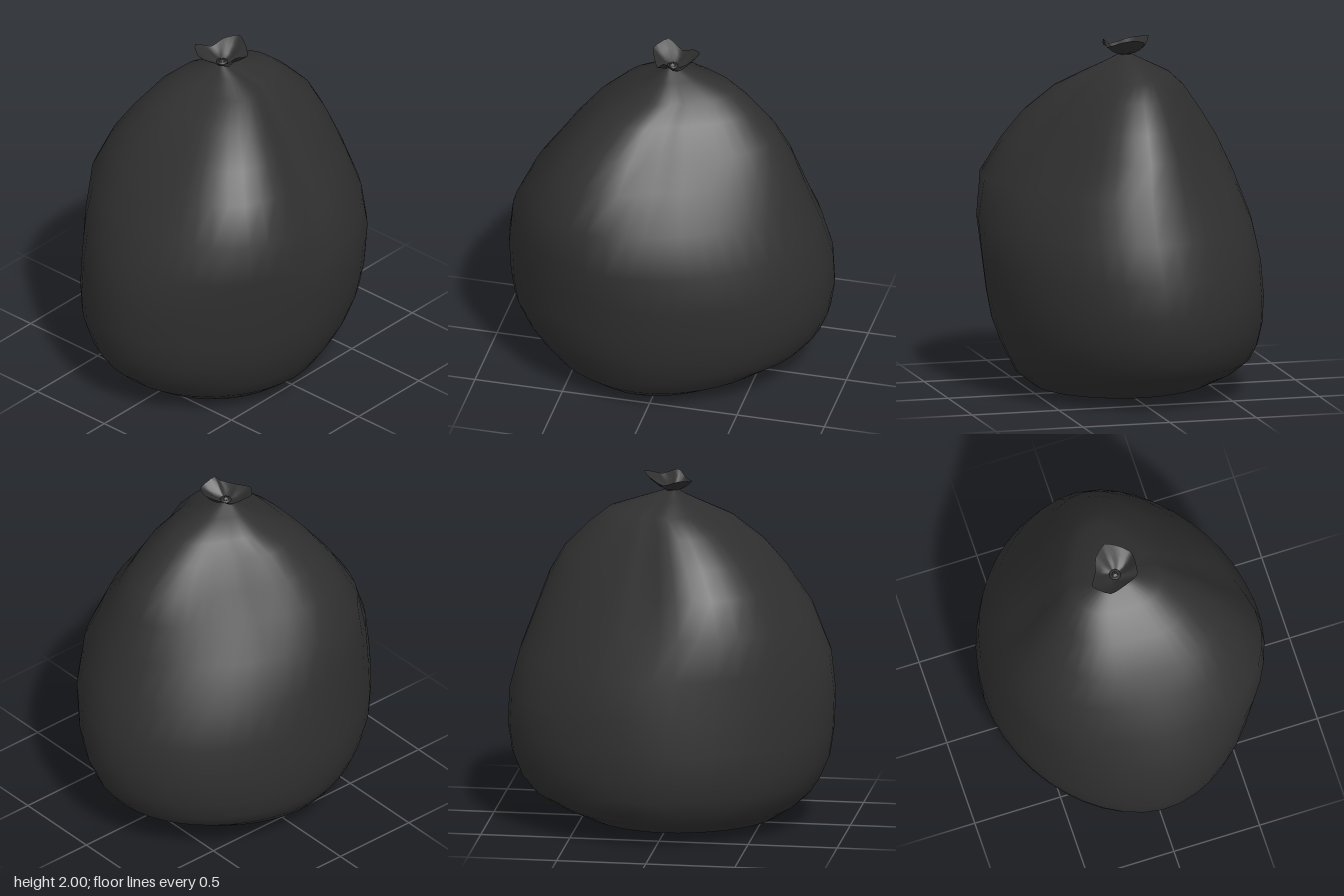
import * as THREE from 'three';

// Skin a stack of closed rings (bottom to top) with smooth normals
function loft(rings) {
  const n = rings[0].length, index = [];
  for (let r = 0; r < rings.length - 1; r++) {
    for (let i = 0; i < n; i++) {
      const j = (i + 1) % n;
      const a = r * n + i, b = r * n + j, c = a + n, d = b + n;
      index.push(a, c, b, b, c, d);
    }
  }
  const geometry = new THREE.BufferGeometry().setFromPoints(rings.flat());
  geometry.setIndex(index);
  geometry.computeVertexNormals();
  return geometry;
}

// Height, then the left, right, front and back extents of the bag
const SECTIONS = [
  [0.006, 0.019, 0.021, 0.001, -0.001],
  [0.008, -0.16, 0.2, 0.2, -0.18],
  [0.015, -0.34, 0.34, 0.42, -0.34],
  [0.04, -0.52, 0.47, 0.58, -0.47],
  [0.12, -0.65, 0.58, 0.70, -0.63],
  [0.2, -0.71, 0.625, 0.785, -0.77],
  [0.28, -0.745, 0.665, 0.835, -0.835],
  [0.4, -0.77, 0.71, 0.885, -0.885],
  [0.55, -0.775, 0.74, 0.905, -0.91],
  [0.75, -0.76, 0.765, 0.91, -0.905],
  [0.97, -0.725, 0.775, 0.88, -0.85],
  [1.2, -0.67, 0.735, 0.77, -0.765],
  [1.4, -0.575, 0.615, 0.62, -0.69],
  [1.55, -0.48, 0.51, 0.5, -0.605],
  [1.7, -0.37, 0.36, 0.34, -0.46],
  [1.79, -0.27, 0.23, 0.18, -0.35],
  [1.855, -0.14, 0.1, 0.08, -0.16],
  [1.9, -0.05, 0.01, 0.03, -0.03],
  [1.92, -0.021, -0.019, 0.001, -0.001],
];
// Angle and depth of the creases running down from the tie
const FOLDS = [[-0.1, 0.09], [3.25, 0.06]];
const SIDES = 44;

function bagRing([y, x0, x1, z1, z0]) {
  // Toward the neck the section becomes three lobes: two in front, one behind
  const gather = THREE.MathUtils.smoothstep(y, 0.8, 1.55);
  const outline = Array.from({ length: SIDES }, (_, i) => {
    const t = (i / SIDES) * Math.PI * 2;
    const c = Math.cos(t), s = Math.sin(t), power = 1.87;
    let r = (Math.abs(c) ** power + Math.abs(s) ** power) ** (-1 / power);
    r *= 1 + 0.12 * gather * Math.sin(3 * t);
    for (const [angle, depth] of FOLDS) {
      const d = Math.atan2(Math.sin(t - angle), Math.cos(t - angle));
      r *= 1 - depth * gather * Math.exp(-((d / 0.22) ** 2));
    }
    return new THREE.Vector3(r * c, y, r * s + 0.045 * r * c);
  });
  // Place the outline between the section's extents; the base tips slightly
  const { min, max } = new THREE.Box3().setFromPoints(outline);
  const tilt = 0.03 * (1 - THREE.MathUtils.smoothstep(y, 0.03, 0.2));
  for (const p of outline) {
    p.x = THREE.MathUtils.mapLinear(p.x, min.x, max.x, x0, x1);
    p.z = THREE.MathUtils.mapLinear(p.z, min.z, max.z, z0, z1);
    p.y = Math.max(0, y - tilt * p.x);
  }
  return outline;
}

// Ragged flared mouth above the tie
function tuftGeometry() {
  const rim = new THREE.CatmullRomCurve3([
    [0.1, 1.985, 0.02], [0.09, 1.945, 0.06], [0, 1.95, 0.1],
    [-0.085, 1.965, 0.125], [-0.17, 1.982, 0.06], [-0.125, 1.945, -0.03],
    [-0.1, 1.975, -0.1], [-0.03, 2, -0.155], [0.05, 1.98, -0.12], [0.105, 1.955, -0.07],
  ].map((p) => new THREE.Vector3(...p)), true, 'catmullrom', 0.3);
  const n = 30;
  const rings = [0, 0.3, 0.65, 1].map((k) => Array.from({ length: n }, (_, i) => {
    const edge = rim.getPoint(i / n);
    const t = Math.atan2(edge.z, edge.x + 0.02);
    const p = new THREE.Vector3(-0.02 + 0.028 * Math.cos(t), 1.9, 0.028 * Math.sin(t));
    const rise = (edge.y - p.y) * k ** 1.4;
    p.lerp(edge, k);
    p.y = 1.9 + rise + 0.007 * Math.sin(k * Math.PI) * Math.sin(5 * t); // crumples
    return p;
  }));
  return loft(rings);
}

export function createModel() {
  const group = new THREE.Group();
  group.name = 'tiedBag';
  const plastic = new THREE.MeshStandardMaterial({ color: 0x303030, side: THREE.DoubleSide });
  plastic.name = 'black plastic';

  const body = new THREE.Mesh(loft(SECTIONS.map(bagRing)), plastic);
  body.name = 'bagBody';

  const tuft = new THREE.Mesh(tuftGeometry(), plastic);
  tuft.name = 'gatheredTop';

  // Twisted neck
  const knot = new THREE.Mesh(new THREE.TorusGeometry(0.022, 0.01, 8, 16), plastic);
  knot.name = 'knot';
  knot.rotation.x = Math.PI / 2;
  knot.position.set(-0.02, 1.9, 0);

  group.add(body, tuft, knot);
  return group;
}
